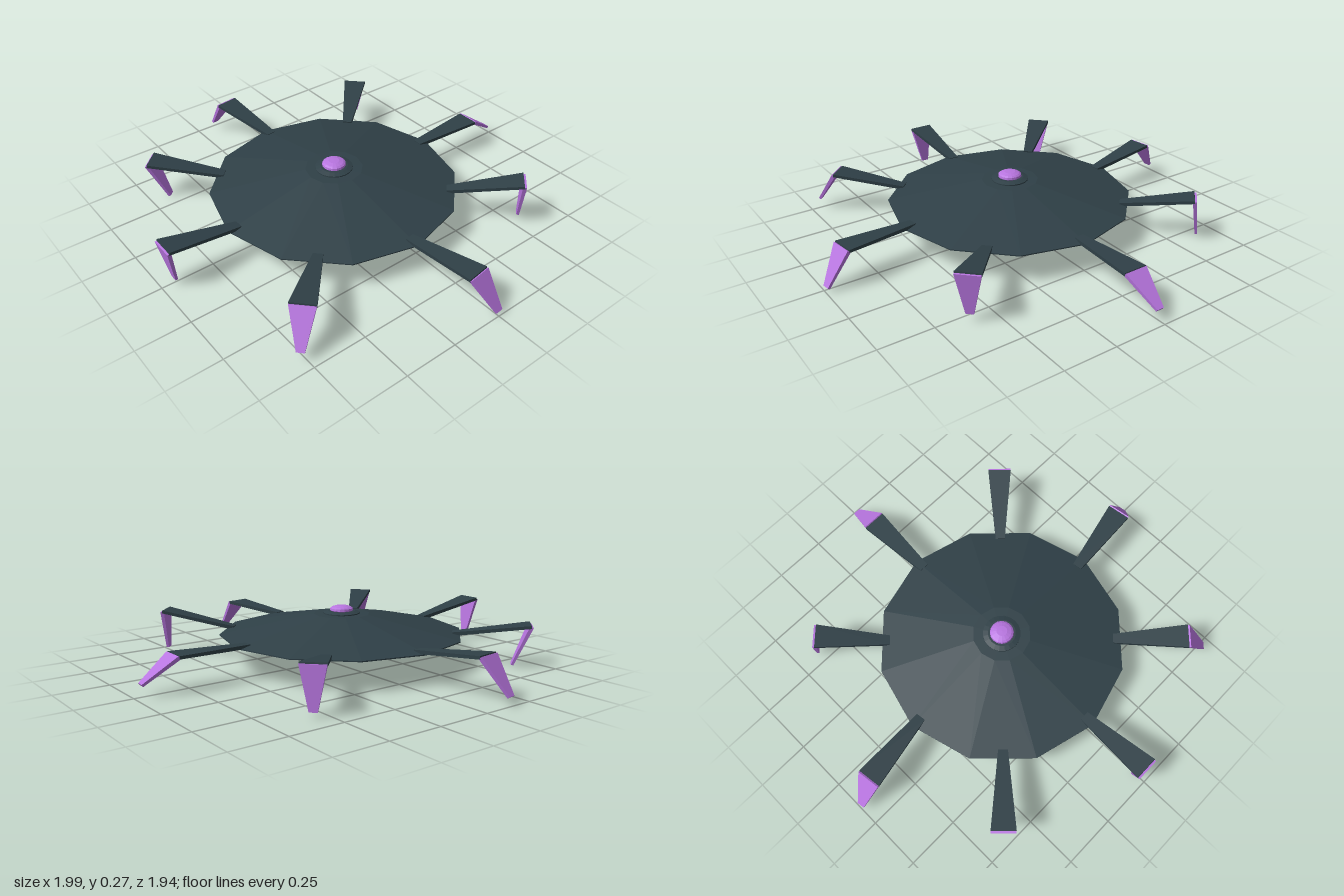
import * as THREE from 'three';

const slate = new THREE.MeshStandardMaterial({ color: 0x2f4047, flatShading: true });
slate.name = 'dark slate';
const violet = new THREE.MeshStandardMaterial({ color: 0xb875e0, flatShading: true });
violet.name = 'violet';

const CENTRE_Z = 0.075;

function addMesh(parent, name, geometry, material) {
  const mesh = new THREE.Mesh(geometry, material);
  mesh.name = name;
  parent.add(mesh);
  return mesh;
}

function lathe(points, sides) {
  return new THREE.LatheGeometry(points.map(([r, y]) => new THREE.Vector2(r, y)), sides);
}

// Flat bar from a to b whose width and thickness taper along its length
function taperedBar(a, b, side, widths, thicks) {
  const along = b.clone().sub(a).normalize();
  const normal = along.clone().cross(side).normalize();
  const geo = new THREE.BoxGeometry(1, 1, 1);
  const pos = geo.attributes.position;
  for (let i = 0; i < pos.count; i++) {
    const end = pos.getZ(i) > 0 ? 1 : 0;
    const p = (end ? b : a).clone()
      .addScaledVector(side, pos.getX(i) * widths[end])
      .addScaledVector(normal, pos.getY(i) * thicks[end]);
    pos.setXYZ(i, p.x, p.y, p.z);
  }
  geo.computeVertexNormals();
  return geo;
}

export function createModel() {
  const model = new THREE.Group();
  model.name = 'leggedDisc';

  // Twelve-sided shallow cone body
  const body = new THREE.Group();
  body.name = 'body';
  body.position.z = CENTRE_Z;
  model.add(body);
  addMesh(body, 'shell', lathe([[0, 0.14], [0.585, 0.14], [0.585, 0.145], [0.135, 0.234], [0, 0.237]], 12), slate);

  // Collar and glowing eye on top
  addMesh(body, 'collar', lathe([[0.088, 0.228], [0.088, 0.24], [0.065, 0.247], [0, 0.247]], 20), slate);
  addMesh(body, 'eye', lathe([[0.045, 0.242], [0.056, 0.25], [0.054, 0.26], [0.045, 0.266], [0.025, 0.272], [0, 0.273]], 16), violet);

  // Each leg in its own pose: direction in degrees from +z, knee, claw tip
  const legs = [
    ['frontLeg', 0, [0, 0.215, 0.965], [0, 0.03, 0.935]],
    ['frontLeftLeg', 45, [0.615, 0.2, 0.7], [0.69, 0.05, 0.77]],
    ['leftLeg', 90, [0.89, 0.17, 0.025], [0.99, 0.022, -0.008]],
    ['backLeftLeg', 135, [0.62, 0.227, -0.545], [0.613, 0.042, -0.54]],
    ['backLeg', 180, [0, 0.16, -0.815], [0, 0.058, -0.967]],
    ['backRightLeg', 225, [-0.615, 0.208, -0.545], [-0.633, 0.025, -0.558]],
    ['rightLeg', 270, [-0.885, 0.193, 0.122], [-0.988, 0.04, 0.15]],
    ['frontRightLeg', 315, [-0.632, 0.2, 0.703], [-0.575, 0.008, 0.65]],
  ];
  for (const [name, degrees, kneeXYZ, tipXYZ] of legs) {
    const leg = new THREE.Group();
    leg.name = name;
    model.add(leg);
    const a = THREE.MathUtils.degToRad(degrees);
    const hip = new THREE.Vector3(Math.sin(a) * 0.53, 0.15, CENTRE_Z + Math.cos(a) * 0.53);
    const knee = new THREE.Vector3(...kneeXYZ);
    const tip = new THREE.Vector3(...tipXYZ);
    const side = new THREE.Vector3(0, 1, 0).cross(knee.clone().sub(hip)).normalize();
    addMesh(leg, 'upperLeg', taperedBar(hip, knee, side, [0.045, 0.113], [0.018, 0.014]), slate);
    addMesh(leg, 'claw', taperedBar(knee, tip, side, [0.111, 0.035], [0.018, 0.012]), violet);
  }
  return model;
}
